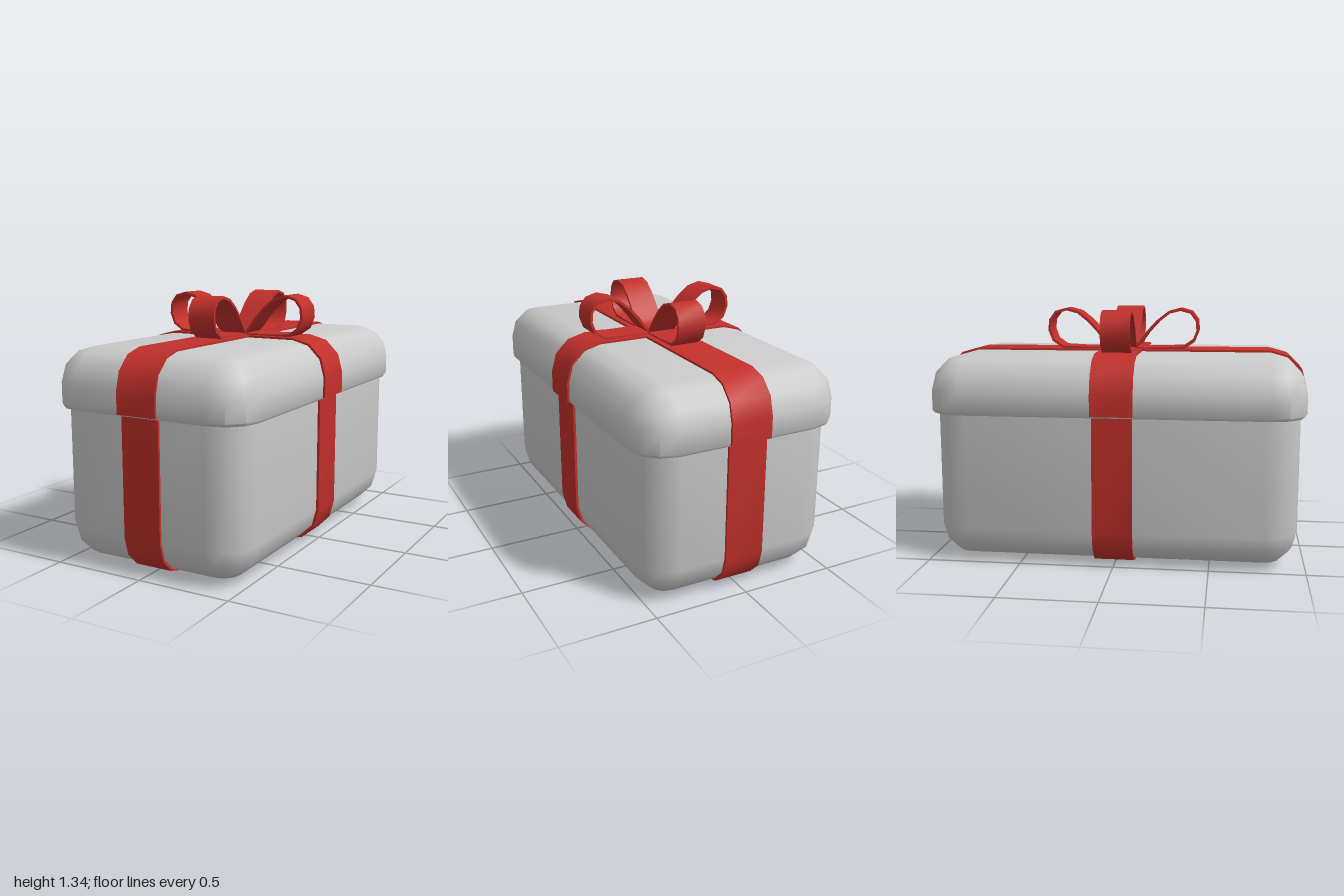
import * as THREE from 'three';
import { toCreasedNormals } from 'three/addons/utils/BufferGeometryUtils.js';

const CREASE = 0.75, STEPS = 3;
const paper = new THREE.MeshStandardMaterial({ color: 0xcccccc });
const red = new THREE.MeshStandardMaterial({ color: 0xc2302b });

function addMesh(parent, name, geometry, material) {
  const mesh = new THREE.Mesh(toCreasedNormals(geometry, CREASE), material);
  mesh.name = name;
  parent.add(mesh);
  return mesh;
}

// Solid lofted through rounded rectangles, listed from bottom to top
function loft(sections) {
  const pos = [], index = [], n = 4 * (STEPS + 1);
  for (const { y, cx, cz, r } of sections) {
    for (let q = 0; q < 4; q++) {
      const sx = q === 0 || q === 3 ? 1 : -1, sz = q < 2 ? 1 : -1;
      for (let k = 0; k <= STEPS; k++) {
        const t = (q + k / STEPS) * Math.PI / 2;
        pos.push(sx * cx + r * Math.cos(t), y, sz * cz + r * Math.sin(t));
      }
    }
  }
  const bottom = pos.length / 3, top = bottom + 1, last = (sections.length - 1) * n;
  pos.push(0, sections[0].y, 0, 0, sections.at(-1).y, 0);
  for (let j = 0; j < n; j++) {
    const k = (j + 1) % n;
    for (let a = 0; a < last; a += n) {
      index.push(a + j, a + n + j, a + k, a + k, a + n + j, a + n + k);
    }
    index.push(bottom, j, k, top, last + k, last + j);
  }
  const g = new THREE.BufferGeometry();
  g.setAttribute('position', new THREE.Float32BufferAttribute(pos, 3));
  g.setIndex(index);
  return g;
}

// Sections of the rounded end of a box, from its side (angle 0) to its flat face
function roundedEnd(hx, hz, r, yFace, up) {
  return Array.from({ length: STEPS + 1 }, (_, k) => {
    const a = k / STEPS * Math.PI / 2;
    return {
      y: yFace + up * r * (Math.sin(a) - 1),
      cx: hx - r, cz: hz - r, r: Math.max(r * Math.cos(a), 0.004),
    };
  });
}

// Flat strip of given thickness following a 2D path, extruded to its width
function band(path, thickness, width) {
  const side = (d) => path.map((p, i) => {
    const a = path[Math.max(i - 1, 0)], b = path[Math.min(i + 1, path.length - 1)];
    const l = Math.hypot(b[0] - a[0], b[1] - a[1]);
    return new THREE.Vector2(p[0] - d * (b[1] - a[1]) / l, p[1] + d * (b[0] - a[0]) / l);
  });
  const shape = new THREE.Shape([...side(thickness / 2), ...side(-thickness / 2).reverse()]);
  const g = new THREE.ExtrudeGeometry(shape, { depth: width, bevelEnabled: false });
  return g.translate(0, 0, -width / 2);
}

// U-shaped path with rounded corners, open at yOpen and closed at yFace
function wrapPath(h, r, yOpen, yFace) {
  const s = Math.sign(yFace - yOpen), half = [[h, yOpen]];
  for (let k = 0; k <= STEPS; k++) {
    const a = k / STEPS * Math.PI / 2;
    half.push([h - r + r * Math.cos(a), yFace + s * r * (Math.sin(a) - 1)]);
  }
  return [...half, ...half.map(([x, y]) => [-x, y]).reverse()];
}

export function createModel() {
  const model = new THREE.Group();
  model.name = 'giftBox';

  // Box body with rounded base
  const base = roundedEnd(0.527, 0.957, 0.18, 0.013, -1).reverse();
  addMesh(model, 'boxBody', loft([...base, { ...base.at(-1), y: 0.82 }]), paper);

  // Lid with a small bevel under its rim
  const crown = roundedEnd(0.558, 0.987, 0.185, 1.104, 1);
  const rim = crown[0];
  addMesh(model, 'lid', loft([
    { ...rim, y: 0.8, r: rim.r - 0.012 }, { ...rim, y: 0.815 }, ...crown,
  ]), paper);

  // Ribbons crossing over the lid and under the body
  for (const [name, bodyHalf, lidHalf, turn] of [
    ['crossRibbon', 0.53, 0.56, 0], ['longRibbon', 0.96, 0.99, Math.PI / 2],
  ]) {
    const ribbon = new THREE.Group();
    ribbon.name = name;
    ribbon.rotation.y = turn;
    addMesh(ribbon, 'bodyRibbon', band(wrapPath(bodyHalf, 0.18, 0.803, 0.01), 0.02, 0.21), red);
    addMesh(ribbon, 'lidRibbon', band(wrapPath(lidHalf, 0.185, 0.81, 1.105), 0.02, 0.22), red);
    model.add(ribbon);
  }

  // Bow of four loops meeting in the middle
  const loop = [
    [0, 1.115], [0.07, 1.116], [0.22, 1.116], [0.335, 1.122], [0.388, 1.158], [0.41, 1.215],
    [0.405, 1.27], [0.373, 1.313], [0.315, 1.329], [0.25, 1.312], [0.19, 1.265],
    [0.135, 1.205], [0.095, 1.15], [0.065, 1.122], [0, 1.118],
  ];
  const bow = new THREE.Group();
  bow.name = 'bow';
  for (let i = 0; i < 4; i++) {
    addMesh(bow, 'bowLoop', band(loop, 0.014, 0.155), red).rotation.y = i * Math.PI / 2;
  }
  model.add(bow);
  return model;
}
